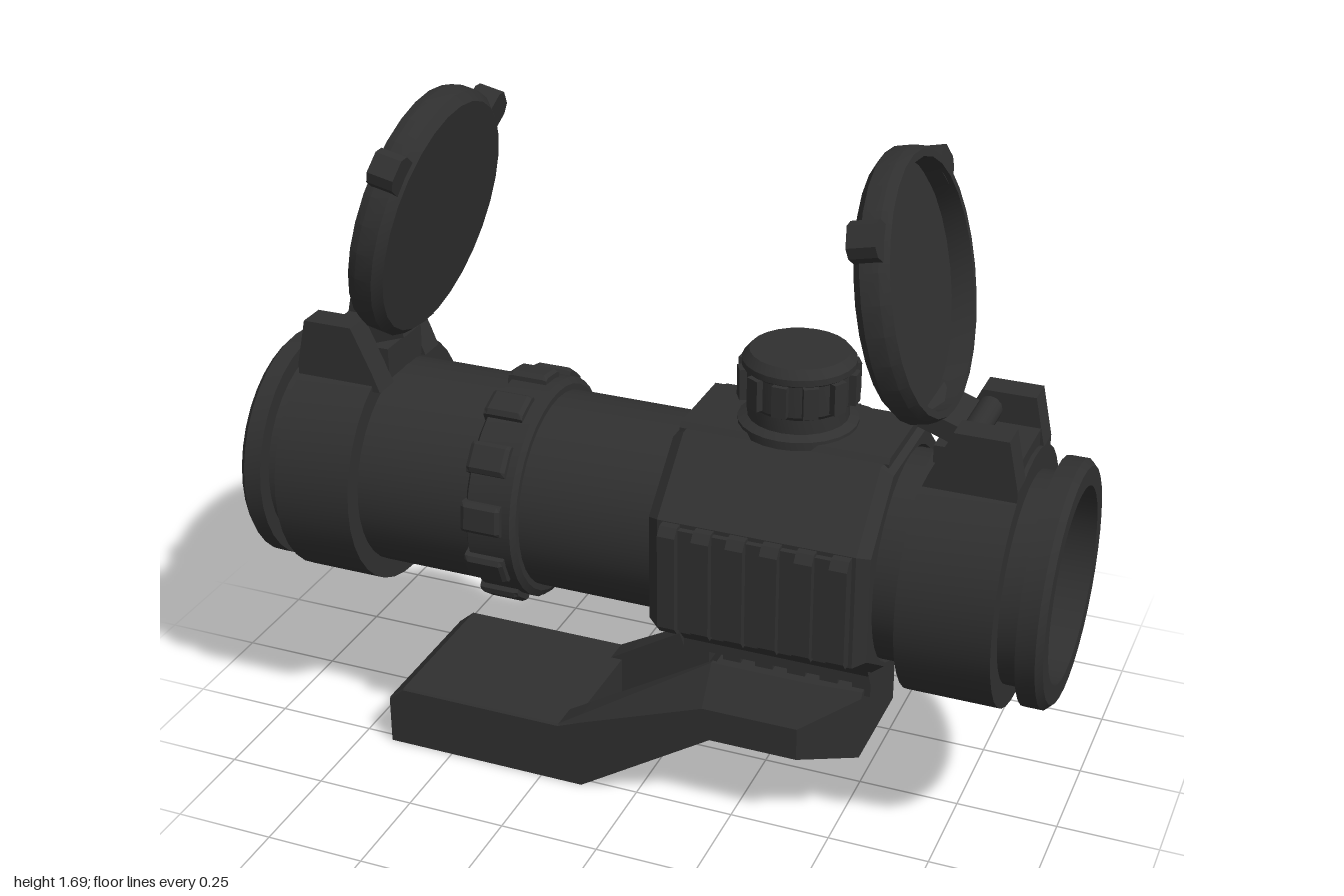
import * as THREE from 'three';
import { toCreasedNormals } from 'three/addons/utils/BufferGeometryUtils.js';

const black = new THREE.MeshStandardMaterial({ color: 0x303030 });
black.name = 'matte black';

function add(parent, name, geo, x = 0, y = 0, z = 0) {
  const mesh = new THREE.Mesh(geo, black);
  mesh.name = name;
  mesh.position.set(x, y, z);
  parent.add(mesh);
  return mesh;
}

// Revolved profile of [radius, height] points with crisp edges
function turned(points, sides) {
  const geo = new THREE.LatheGeometry(points.map(([r, h]) => new THREE.Vector2(r, h)), sides);
  return toCreasedNormals(geo, 0.45);
}

// Solid through sections [x, ring of [z, y]]; rings run anticlockwise about +x
function loft(sections) {
  const pos = [];
  const n = sections[0][1].length;
  const put = (s, k) => {
    const [x, ring] = sections[s];
    pos.push(x, ring[k % n][1], ring[k % n][0]);
  };
  for (let s = 0; s < sections.length - 1; s++) {
    for (let k = 0; k < n; k++) {
      put(s, k); put(s, k + 1); put(s + 1, k + 1);
      put(s, k); put(s + 1, k + 1); put(s + 1, k);
    }
  }
  const last = sections.length - 1;
  for (let k = 1; k < n - 1; k++) {
    put(0, 0); put(0, k + 1); put(0, k);
    put(last, 0); put(last, k); put(last, k + 1);
  }
  const geo = new THREE.BufferGeometry();
  geo.setAttribute('position', new THREE.Float32BufferAttribute(pos, 3));
  geo.computeVertexNormals();
  return geo;
}

// Symmetric six-cornered section: half width, bottom, side top, top half width, top
const hexRing = (w, yb, ys, wt, yt) => [[w, yb], [-w, yb], [-w, ys], [-wt, yt], [wt, yt], [w, ys]];

function makeTurret() {
  const g = new THREE.Group();
  add(g, 'turretKnob', turned([[0, 0.27], [0.14, 0.27], [0.14, 0.305], [0.118, 0.315], [0.118, 0.35],
    [0.126, 0.36], [0.126, 0.435], [0.132, 0.44], [0.132, 0.455], [0.115, 0.475], [0, 0.475]], 24));
  for (let i = 0; i < 12; i++) {
    const a = (i * Math.PI) / 6;
    const grip = add(g, 'turretGrip', new THREE.BoxGeometry(0.035, 0.075, 0.03),
      Math.sin(a) * 0.126, 0.4, Math.cos(a) * 0.126);
    grip.rotation.y = a;
  }
  return g;
}

// Hinged flip-up lens cover for the +x end
function makeCover() {
  const g = new THREE.Group();
  const lug = new THREE.Shape([[0.67, 0.25], [0.89, 0.25], [0.89, 0.29], [0.865, 0.408], [0.74, 0.408], [0.69, 0.3]]
    .map(([x, y]) => new THREE.Vector2(x, y)));
  const lugGeo = new THREE.ExtrudeGeometry(lug, { depth: 0.07, bevelEnabled: false });
  add(g, 'hingeLug', lugGeo, 0, 0, 0.083);
  add(g, 'hingeLug', lugGeo, 0, 0, -0.153);
  add(g, 'hingeBase', new THREE.BoxGeometry(0.2, 0.08, 0.17), 0.78, 0.295, 0);
  const pin = add(g, 'hingePin', new THREE.CylinderGeometry(0.03, 0.03, 0.17, 12), 0.76, 0.365, 0);
  pin.rotation.x = Math.PI / 2;

  const lid = new THREE.Group();
  lid.name = 'lid';
  lid.position.set(0.6, 0.672, 0);
  lid.rotation.z = 0.216;
  g.add(lid);
  const cup = add(lid, 'lidCup', turned([[0, -0.042], [0.285, -0.042], [0.305, -0.022], [0.305, 0.02],
    [0.295, 0.042], [0.278, 0.042], [0.278, -0.012], [0, -0.012]], 28));
  cup.rotation.z = -Math.PI / 2;
  for (const side of [-1, 1]) {
    const a = side * 0.91;
    const ear = add(lid, 'lidTab', loft([
      [-0.035, hexRing(0.042, -0.03, 0.025, 0.025, 0.045)],
      [0.03, hexRing(0.042, -0.03, 0.025, 0.025, 0.045)],
    ]), 0, Math.cos(a) * 0.305, Math.sin(a) * 0.305);
    ear.rotation.x = a;
  }
  const tongue = add(lid, 'lidTongue', new THREE.BoxGeometry(0.12, 0.045, 0.155), 0.035, -0.315, 0);
  tongue.rotation.z = -0.55;
  return g;
}

export function createModel() {
  const model = new THREE.Group();
  model.name = 'opticSight';
  const sight = new THREE.Group();
  sight.name = 'sight';
  sight.position.set(0, 0.715, 0.07);
  model.add(sight);

  // Hollow tube with end rings, cover sleeves and collar
  const tube = add(sight, 'tube', turned([[0.23, -1], [0.275, -1], [0.29, -0.985], [0.29, -0.94], [0.25, -0.94],
    [0.25, -0.89], [0.306, -0.89], [0.306, -0.69], [0.257, -0.69], [0.257, -0.4], [0.272, -0.39],
    [0.272, -0.28], [0.257, -0.27], [0.242, -0.27], [0.242, 0.09], [0.25, 0.09], [0.25, 0.67],
    [0.306, 0.67], [0.306, 0.89], [0.25, 0.89], [0.25, 0.94], [0.29, 0.94], [0.29, 0.985],
    [0.275, 1], [0.23, 1], [0.23, -1]], 36));
  tube.rotation.z = -Math.PI / 2;

  // Collar grips
  for (let i = 0; i < 12; i++) {
    const a = ((7 + 30 * i) * Math.PI) / 180;
    const pivot = new THREE.Group();
    pivot.name = 'collarGrip';
    pivot.rotation.x = -a;
    sight.add(pivot);
    const grip = add(pivot, 'collarGripPad', loft([
      [-0.05, hexRing(0.038, -0.02, 0.008, 0.028, 0.014)],
      [-0.04, hexRing(0.038, -0.02, 0.01, 0.028, 0.02)],
      [0.04, hexRing(0.038, -0.02, 0.01, 0.028, 0.02)],
      [0.05, hexRing(0.038, -0.02, 0.008, 0.028, 0.014)],
    ]), -0.35, 0, 0.27);
    grip.rotation.x = Math.PI / 2;
  }

  // Eight-sided housing around the tube
  const outline = new THREE.Shape([[0.14, -0.25], [0.3, -0.145], [0.3, 0.14], [0.14, 0.285],
    [-0.14, 0.285], [-0.3, 0.14], [-0.3, -0.145], [-0.14, -0.25]].map(([x, y]) => new THREE.Vector2(x, y)));
  outline.holes.push(new THREE.Path().absarc(0, 0, 0.237, 0, Math.PI * 2, true));
  const housing = add(sight, 'housing', new THREE.ExtrudeGeometry(outline, {
    depth: 0.47, bevelThickness: 0.028, bevelSize: 0.02, bevelOffset: -0.02, bevelSegments: 1, curveSegments: 18,
  }), 0.107, 0, 0);
  housing.rotation.y = Math.PI / 2;
  add(sight, 'topPad', loft([[0.09, hexRing(0.12, 0.26, 0.285, 0.11, 0.297)],
    [0.59, hexRing(0.12, 0.26, 0.285, 0.11, 0.297)]]));

  // Adjustment turrets on the top and back
  const topTurret = makeTurret();
  topTurret.name = 'topTurret';
  topTurret.position.x = 0.335;
  sight.add(topTurret);
  const sideTurret = makeTurret();
  sideTurret.name = 'sideTurret';
  sideTurret.position.x = 0.335;
  sideTurret.rotation.x = -Math.PI / 2;
  sight.add(sideTurret);

  // Ribbed side rail and toothed bottom rail
  add(sight, 'sideRailBase', new THREE.BoxGeometry(0.45, 0.26, 0.03), 0.343, 0, 0.3);
  add(sight, 'bottomRailBase', loft([[0.1, hexRing(0.115, -0.305, -0.28, 0.15, -0.24)],
    [0.57, hexRing(0.115, -0.305, -0.28, 0.15, -0.24)]]));
  for (let i = 0; i < 6; i++) {
    const x = 0.142 + i * 0.081;
    const rib = add(sight, 'sideRailRib', loft([-0.021, 0.021].map(
      (dx) => [dx, hexRing(0.138, 0.29, 0.32, 0.118, 0.336)])), x, 0, 0);
    rib.rotation.x = Math.PI / 2;
    add(sight, 'bottomRailTooth', new THREE.BoxGeometry(0.045, 0.04, 0.23), x, -0.315, 0);
  }

  // Flip-up covers at both ends
  for (const turn of [0, Math.PI]) {
    const cover = makeCover();
    cover.name = turn ? 'rightCover' : 'leftCover';
    cover.rotation.y = turn;
    sight.add(cover);
  }

  // Cantilever mount: upper clamp, foot and two sloping arms
  const mount = new THREE.Group();
  mount.name = 'mount';
  mount.position.z = 0.07;
  model.add(mount);
  const W = 0.2025;
  add(mount, 'mountClamp', loft([
    [0.19, hexRing(W, 0.22, 0.305, 0.14, 0.398)],
    [0.42, hexRing(W, 0.22, 0.305, 0.14, 0.398)],
    [0.555, hexRing(0.138, 0.22, 0.385, 0.13, 0.398)],
  ]));
  add(mount, 'mountFoot', loft([
    [-0.67, hexRing(W, 0, 0.125, W - 0.005, 0.13)],
    [-0.63, hexRing(W, 0, 0.16, W - 0.005, 0.165)],
    [-0.17, hexRing(W, 0, 0.16, W - 0.005, 0.165)],
  ]));
  const armRing = (yb, ys, wt, yt) => [[W, yb], [0.13, yb], [0.13, yt], [wt, yt], [W, ys]];
  const arm = [
    [-0.2, armRing(0, 0.16, W - 0.005, 0.165)],
    [-0.14, armRing(0, 0.185, 0.189, 0.202)],
    [0.18, armRing(0.207, 0.305, 0.14, 0.398)],
    [0.2, armRing(0.22, 0.305, 0.14, 0.398)],
  ];
  add(mount, 'mountArm', loft(arm));
  add(mount, 'mountArm', loft(arm.map(([x, ring]) => [x, ring.map(([z, y]) => [-z, y]).reverse()])));
  return model;
}
